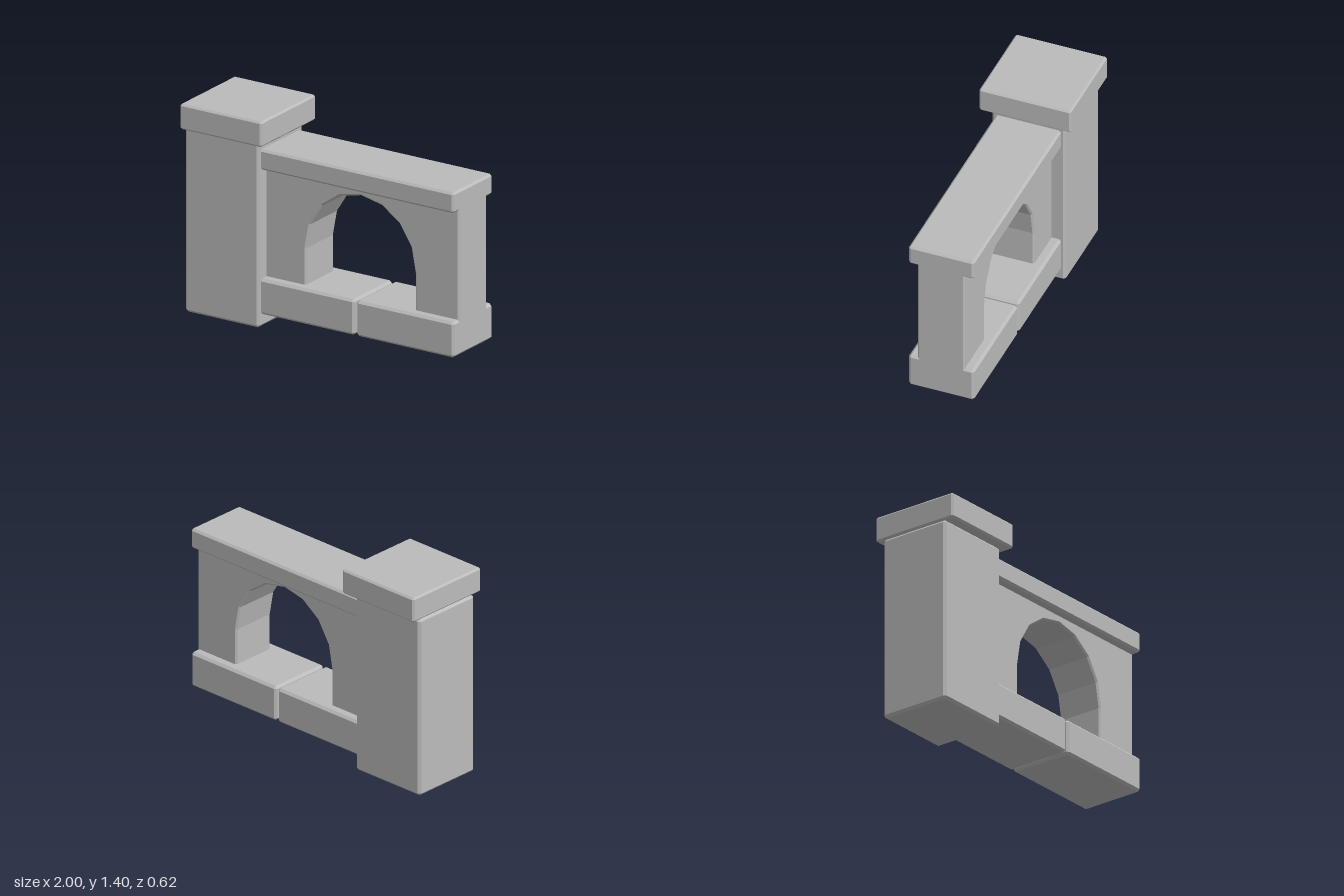
import * as THREE from 'three';
import { ConvexGeometry } from 'three/addons/geometries/ConvexGeometry.js';

const stone = new THREE.MeshStandardMaterial({ color: 0xbbbbbb });
stone.name = 'grey stone';

// Box with chamfered edges, given by its bounds, centred on z = 0
function block(name, x0, x1, y0, y1, depth, c) {
  const half = [(x1 - x0) / 2, (y1 - y0) / 2, depth / 2];
  const points = [];
  for (const sx of [-1, 1]) for (const sy of [-1, 1]) for (const sz of [-1, 1]) {
    const s = [sx, sy, sz];
    for (let outer = 0; outer < 3; outer++) {
      points.push(new THREE.Vector3(...half.map((h, i) => s[i] * (i === outer ? h : h - c))));
    }
  }
  const mesh = new THREE.Mesh(new ConvexGeometry(points), stone);
  mesh.position.set((x0 + x1) / 2, (y0 + y1) / 2, 0);
  mesh.name = name;
  return mesh;
}

// Wall panel with an open, eight-sided arch between two legs
function archWall() {
  const left = -0.55, right = 1, bottom = 0.12, top = 1.15;
  const cx = 0.258, spring = 0.563, rx = 0.41, ry = 0.435;
  const shape = new THREE.Shape();
  shape.moveTo(left, bottom);
  shape.lineTo(cx - rx, bottom);
  for (let i = 0; i <= 8; i++) {
    const a = Math.PI * (1 - i / 8);
    shape.lineTo(cx + rx * Math.cos(a), spring + ry * Math.sin(a));
  }
  shape.lineTo(cx + rx, bottom);
  shape.lineTo(right, bottom);
  shape.lineTo(right, top);
  shape.lineTo(left, top);
  shape.closePath();

  const half = 0.158, bevel = 0.011;
  const geometry = new THREE.ExtrudeGeometry(shape, {
    depth: 2 * (half - bevel), bevelEnabled: true, bevelSegments: 1,
    bevelThickness: bevel, bevelSize: bevel, bevelOffset: -bevel,
  });
  geometry.translate(0, 0, -(half - bevel));
  const mesh = new THREE.Mesh(geometry, stone);
  mesh.name = 'archWall';
  return mesh;
}

export function createModel() {
  const model = new THREE.Group();
  model.name = 'archedWallSection';
  model.add(
    block('pillar', -1, -0.445, 0, 1.231, 0.5, 0.017),
    block('pillarCap', -1, -0.386, 1.231, 1.4, 0.618, 0.012),
    archWall(),
    block('topRail', -0.55, 1, 1.045, 1.182, 0.442, 0.014),
    block('baseBlockInner', -0.55, 0.253, 0.084, 0.321, 0.442, 0.016),
    block('baseBlockOuter', 0.267, 1, 0.084, 0.321, 0.442, 0.016),
  );
  return model;
}
